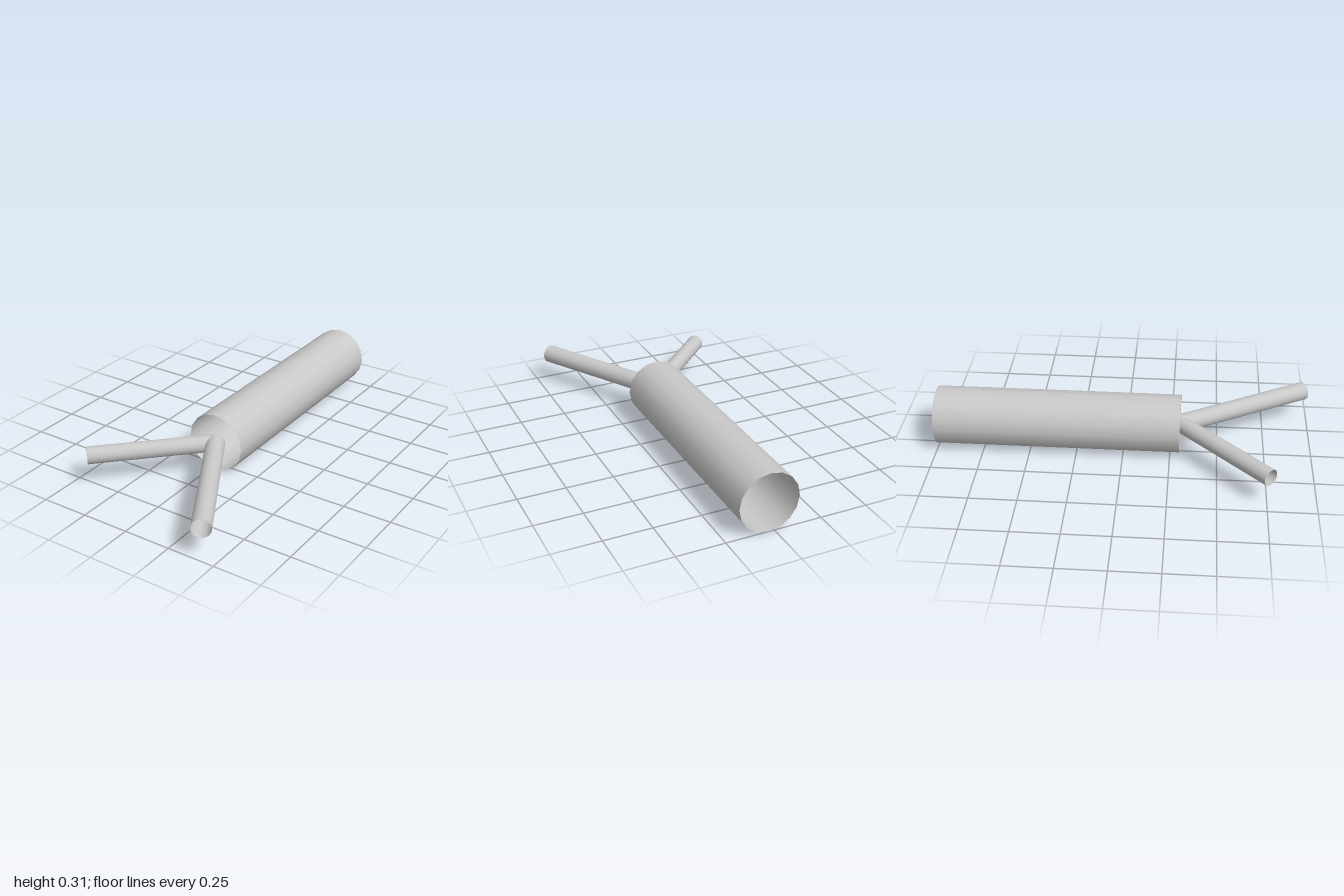
import * as THREE from 'three';

export function createModel() {
  const group = new THREE.Group();
  const grey = new THREE.MeshStandardMaterial({ color: 0xc8c8c8, side: THREE.DoubleSide });
  grey.name = 'plain grey';

  // Open thin-walled tube leaving the junction at a heading measured from +z
  function addTube(name, radius, length, heading) {
    const geometry = new THREE.CylinderGeometry(radius, radius, length, 16, 1, true);
    geometry.translate(0, length / 2, 0);
    geometry.rotateX(Math.PI / 2);
    const tube = new THREE.Mesh(geometry, grey);
    tube.name = name;
    tube.position.set(0.029, 0.156, 0.3);
    tube.rotation.y = heading;
    group.add(tube);
  }

  addTube('trunk', 0.156, 1.3, Math.PI);
  addTube('leftBranch', 0.05, 0.78, Math.PI / 6);
  addTube('rightBranch', 0.045, 0.65, -Math.PI / 4);

  return group;
}
